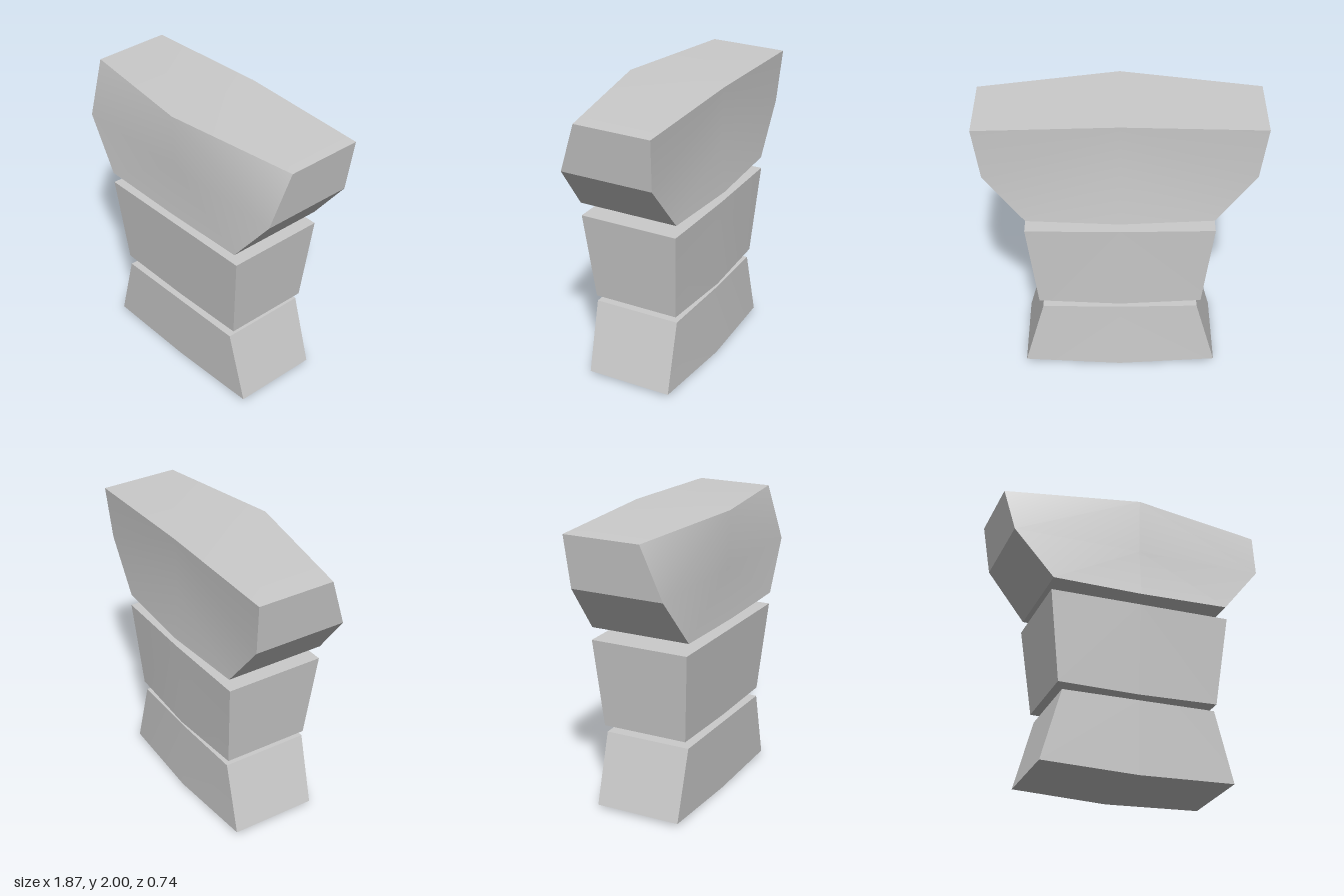
import * as THREE from 'three';
import { toCreasedNormals } from 'three/addons/utils/BufferGeometryUtils.js';

// One horizontal section: half width, side/centre heights, side/centre depths at front and back
const ring = ([w, ySide, yMid, zFront, zFrontMid, zBack, zBackMid]) => [
  [w, ySide, zFront], [0, yMid, zFrontMid], [-w, ySide, zFront],
  [-w, ySide, zBack], [0, yMid, zBackMid], [w, ySide, zBack],
];

// Solid lofted through sections listed from bottom to top
function loft(name, sections) {
  const points = sections.flatMap(ring);
  const index = [];
  for (let s = 0; s < sections.length - 1; s++) {
    for (let i = 0; i < 6; i++) {
      const a = s * 6 + i, b = s * 6 + (i + 1) % 6;
      const c = a + 6, d = b + 6;
      // Mirrored diagonals keep the two halves symmetric
      if (i % 3 === 0) index.push(b, a, d, a, c, d);
      else index.push(b, a, c, b, c, d);
    }
  }
  // Caps: two quads either side of the centre line
  const t = (sections.length - 1) * 6;
  for (const [p, q, r, u] of [[0, 1, 4, 5], [1, 2, 3, 4]]) {
    index.push(p, q, r, p, r, u);
    index.push(t + r, t + q, t + p, t + u, t + r, t + p);
  }
  const geometry = new THREE.BufferGeometry();
  geometry.setAttribute('position', new THREE.Float32BufferAttribute(points.flat(), 3));
  geometry.setIndex(index);
  const mesh = new THREE.Mesh(
    toCreasedNormals(geometry, THREE.MathUtils.degToRad(25)),
    new THREE.MeshStandardMaterial({ color: 0xcccccc }),
  );
  mesh.name = name;
  return mesh;
}

export function createModel() {
  const model = new THREE.Group();
  model.name = 'segmentedTorso';
  model.add(
    // Flared base
    loft('lowerBlock', [
      [0.665, 0.02, 0, 0.31, 0.31, -0.30, -0.325],
      [0.53, 0.51, 0.51, 0.32, 0.32, -0.295, -0.305],
    ]),
    // Waist widening upwards
    loft('middleBlock', [
      [0.555, 0.565, 0.555, 0.31, 0.31, -0.30, -0.325],
      [0.63, 1.19, 1.19, 0.36, 0.36, -0.34, -0.35],
    ]),
    // Broad top with swept-back front corners
    loft('upperBlock', [
      [0.62, 1.275, 1.265, 0.37, 0.37, -0.34, -0.367],
      [0.887, 1.61, 1.61, 0.333, 0.333, -0.32, -0.337],
      [0.935, 1.97, 2, 0.2, 0.348, -0.34, -0.35],
    ]),
  );
  return model;
}
